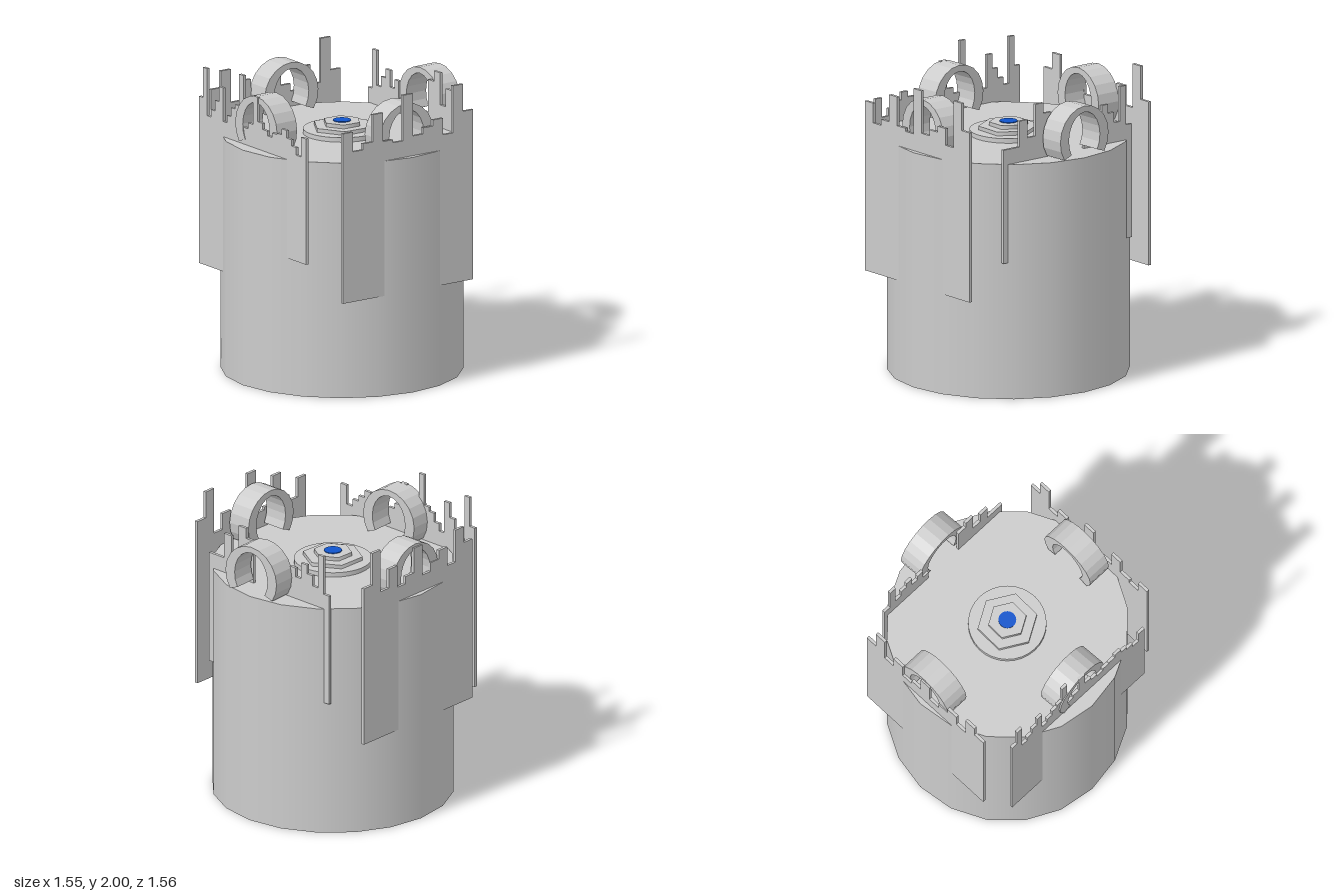
import * as THREE from 'three';

const grey = new THREE.MeshStandardMaterial({ color: 0xcccccc });
const blue = new THREE.MeshStandardMaterial({ color: 0x1155cc });
const TOP = 1.55;

function addMesh(parent, name, geometry, material = grey) {
  const mesh = new THREE.Mesh(geometry, material);
  mesh.name = name;
  parent.add(mesh);
  return mesh;
}

// Thin upright slab from (ax, az) to (bx, bz) with equal columns cut to the given heights
function jaggedPanel(parent, name, [ax, az], [bx, bz], bottom, heights) {
  const length = Math.hypot(bx - ax, bz - az);
  const step = length / heights.length;
  const shape = new THREE.Shape();
  shape.moveTo(0, bottom);
  shape.lineTo(length, bottom);
  for (let i = heights.length - 1; i >= 0; i--) {
    shape.lineTo((i + 1) * step, heights[i]);
    shape.lineTo(i * step, heights[i]);
  }
  const geometry = new THREE.ExtrudeGeometry(shape, { depth: 0.02, bevelEnabled: false });
  geometry.translate(0, 0, -0.01);
  const panel = addMesh(parent, name, geometry);
  panel.position.set(ax, 0, az);
  panel.rotation.y = Math.atan2(az - bz, bx - ax);
}

// Horseshoe band, thick at the legs and thin at the crown
function archGeometry() {
  const shape = new THREE.Shape();
  const segments = 14;
  const start = -0.6;
  const sweep = Math.PI - 2 * start;
  const ring = (t, rx, ry, cy) => {
    const a = start + sweep * t;
    return [rx * Math.cos(a), cy + ry * Math.sin(a)];
  };
  for (let i = 0; i <= segments; i++) {
    const p = ring(i / segments, 0.21, 0.21, 1.68);
    if (i === 0) shape.moveTo(...p);
    else shape.lineTo(...p);
  }
  for (let i = segments; i >= 0; i--) {
    shape.lineTo(...ring(i / segments, 0.135, 0.17, 1.68));
  }
  const geometry = new THREE.ExtrudeGeometry(shape, { depth: 0.165, bevelEnabled: false });
  geometry.translate(0, 0, -0.0825);
  return geometry;
}

export function createModel() {
  const model = new THREE.Group();
  model.name = 'canister';

  // Main drum
  const body = addMesh(model, 'body', new THREE.CylinderGeometry(0.775, 0.775, TOP, 20));
  body.position.y = TOP / 2;

  // Stepped boss in the middle of the lid
  const boss = new THREE.Group();
  boss.name = 'lidBoss';
  model.add(boss);
  const tiers = [
    ['bossDisc', 0.25, 0.03, 32, grey],
    ['lowerHexagon', 0.195, 0.055, 6, grey],
    ['upperHexagon', 0.125, 0.08, 6, grey],
    ['blueButton', 0.057, 0.085, 32, blue],
  ];
  for (const [name, radius, height, sides, material] of tiers) {
    const tier = addMesh(boss, name, new THREE.CylinderGeometry(radius, radius, height, sides), material);
    tier.position.y = TOP + height / 2;
  }

  // Four arched loops around the rim
  const loop = archGeometry();
  const loops = [
    ['frontLoop', 0, 0.593, 0.075],
    ['backLoop', 0, -0.685, 0.075],
    ['leftLoop', 0.622, -0.005, Math.PI / 2],
    ['rightLoop', -0.647, -0.005, Math.PI / 2],
  ];
  for (const [name, x, z, turn] of loops) {
    const arch = addMesh(model, name, loop);
    arch.position.set(x, 0, z);
    arch.rotation.y = turn;
  }

  // Jagged panels standing around the drum
  jaggedPanel(model, 'frontRightPanel', [-0.62, 0.67], [-0.13, 0.67], 0.66,
    [1.76, 1.96, 1.65, 1.7, 1.77, 1.87, 1.65, 1.7, 1.76, 1.79, 2.0]);
  jaggedPanel(model, 'frontLeftPanel', [-0.13, 0.67], [0.56, 0.67], 0.9,
    [1.66, 1.7, 1.89, 1.73, 1.69, 1.66, 1.69, 1.7, 1.74, 1.69, 1.65, 1.6, 1.73]);
  jaggedPanel(model, 'backRightPanel', [-0.53, -0.587], [-0.14, -0.587], 0.9,
    [1.65, 1.91, 1.68, 1.75, 1.81, 1.7, 1.76, 1.65]);
  jaggedPanel(model, 'backLeftPanel', [0.13, -0.59], [0.52, -0.59], 0.9,
    [1.84, 1.91, 1.7, 1.82, 1.65, 1.65]);
  jaggedPanel(model, 'leftPanel', [0.717, -0.51], [0.742, 0.525], 0.66,
    [1.78, 1.96, 1.65, 1.76, 1.72, 1.68, 1.96, 1.66, 1.68, 1.87, 1.69, 1.65, 1.78]);
  jaggedPanel(model, 'rightPanel', [-0.745, -0.51], [-0.717, 0.525], 0.66,
    [1.74, 1.96, 1.67, 1.8, 1.65, 1.7, 1.87, 1.66, 1.72, 1.78, 1.65, 1.87, 1.76]);

  return model;
}
